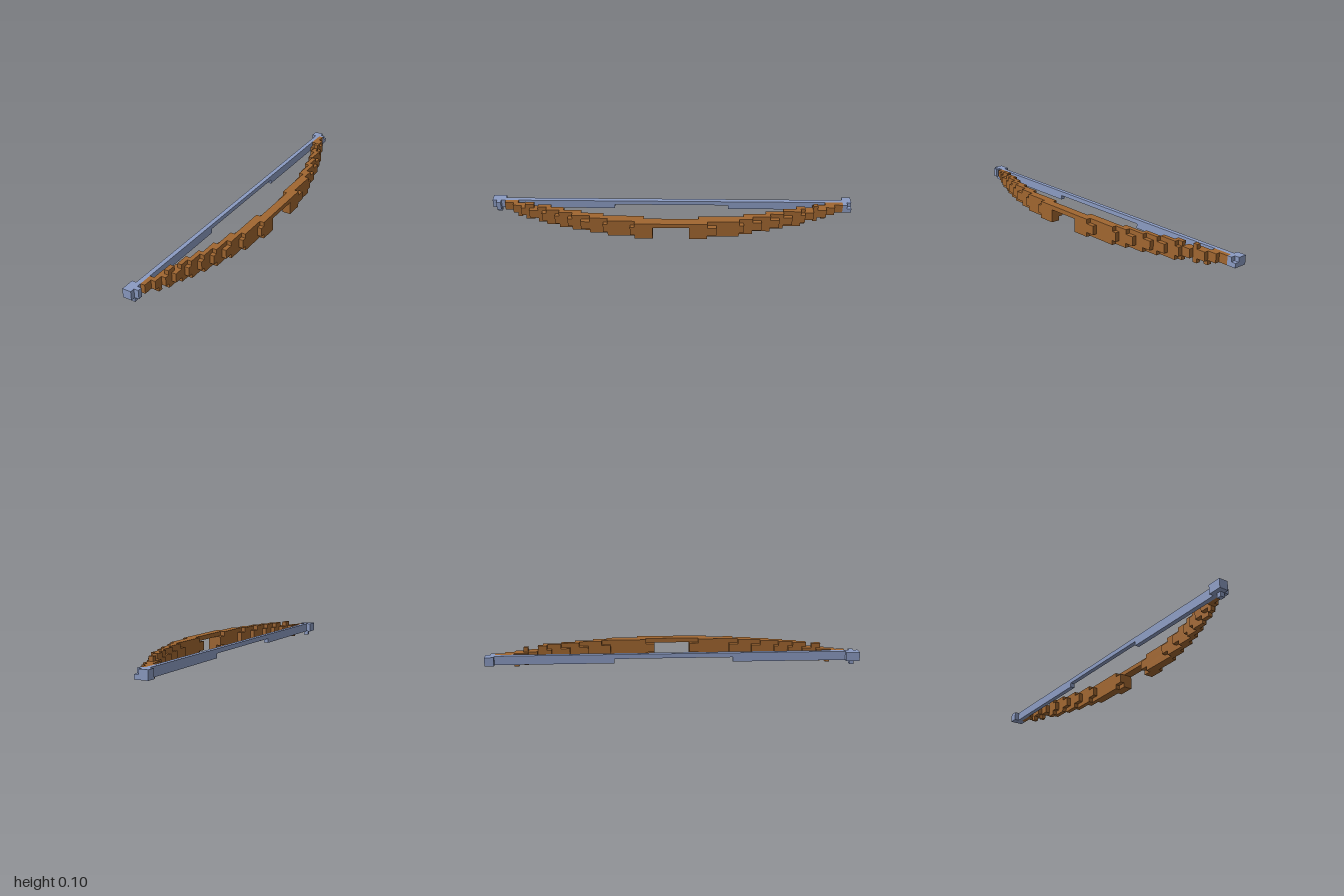
import * as THREE from 'three';

const U = 2 / 82; // edge of one cube of the blocky grid

export function createModel() {
  const model = new THREE.Group();
  model.name = 'bow';
  const wood = new THREE.MeshStandardMaterial({ color: 0xa06630 });
  wood.name = 'brown wood';
  const cord = new THREE.MeshStandardMaterial({ color: 0x8b9bc2 });
  cord.name = 'blue grey cord';

  // Box given by its limits in grid units (x is counted from the string side)
  const block = (parent, name, material, x0, x1, y0, y1, z0, z1) => {
    const geometry = new THREE.BoxGeometry((x1 - x0) * U, (y1 - y0) * U, Math.abs(z1 - z0) * U);
    const mesh = new THREE.Mesh(geometry, material);
    mesh.position.set(((x0 + x1) / 2 - 6) * U, ((y0 + y1) / 2) * U, ((z0 + z1) / 2) * U);
    mesh.name = name;
    parent.add(mesh);
  };

  // Stepped limbs: [column, start, end, inner setback, outer setback] from the grip out
  const limbs = [
    {
      name: 'frontLimb', side: 1, steps: [
        [11, 4, 9, 0, 1], [10, 4, 15, 0, 1], [9, 4, 20, 2, 2], [8, 13, 23, 2, 1], [7, 18, 26, 2, 1],
        [6, 23, 29, 1, 1], [5, 26, 32, 1, 2], [4, 29, 34, 2, 1], [3, 32, 36, 2, 1], [2, 35, 38, 0, 0],
      ],
    },
    {
      name: 'backLimb', side: -1, steps: [
        [11, 4, 10, 0, 2], [10, 4, 16, 0, 1], [9, 4, 20, 2, 2], [8, 14, 24, 2, 2], [7, 19, 27, 2, 2],
        [6, 23, 30, 2, 1], [5, 27, 32, 1, 2], [4, 30, 35, 2, 2], [3, 32, 37, 2, 2], [2, 35, 39, 0, 0],
      ],
    },
  ];
  for (const { name, side, steps } of limbs) {
    const limb = new THREE.Group();
    limb.name = name;
    model.add(limb);
    for (const [x, start, end, inner, outer] of steps) {
      block(limb, 'limbCore', wood, x, x + 1, 1, 3, side * start, side * end);
      if (x === 2) continue; // slim tip
      const z0 = side * (start + inner), z1 = side * (end - outer);
      block(limb, 'limbLowerEdge', wood, x, x + 1, 0, 1, z0, z1);
      if (x > 3) block(limb, 'limbUpperEdge', wood, x, x + 1, 3, 4, z0, z1);
    }
  }

  // Thin bridge over the open grip
  block(model, 'gripBridge', wood, 10, 12, 3, 4, -4, 4);

  // String, thinner in the middle
  block(model, 'stringMiddle', cord, 1, 2, 2, 3, -13, 13);
  block(model, 'stringFront', cord, 1, 2, 1, 3, 13, 38);
  block(model, 'stringBack', cord, 1, 2, 1, 3, -39, -13);

  // Knots at both tips
  block(model, 'frontKnot', cord, 0, 2, 1, 3, 38, 41);
  block(model, 'frontKnotPeg', cord, 2, 3, 1, 3, 39, 40);
  block(model, 'frontKnotTail', cord, 1, 2, 0, 1, 39, 40);
  block(model, 'backKnot', cord, 0, 2, 1, 3, -41, -39);
  block(model, 'backKnotLink', cord, 2, 3, 1, 3, -40, -39);
  block(model, 'backKnotPeg', cord, 2, 3, 1, 2, -41, -40);

  return model;
}
